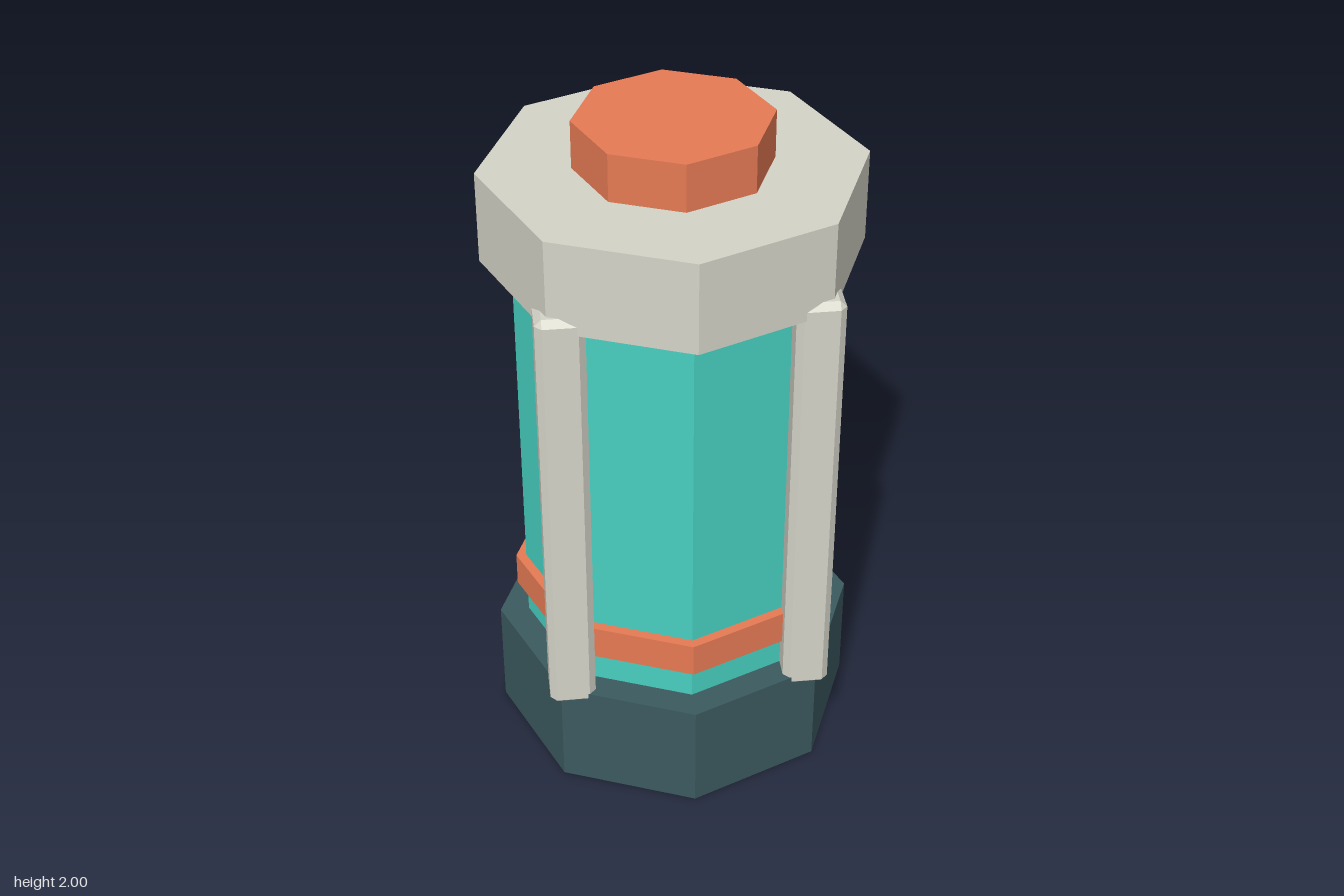
import * as THREE from 'three';
import { ConvexGeometry } from 'three/addons/geometries/ConvexGeometry.js';

const paint = (color) => new THREE.MeshStandardMaterial({ color, flatShading: true });

// Box with every edge and corner cut by c, centred on its origin
function chamferedBox(w, h, d, c) {
  const points = [];
  for (const sx of [-1, 1]) for (const sy of [-1, 1]) for (const sz of [-1, 1]) {
    const x = w / 2, y = h / 2, z = d / 2;
    points.push(
      new THREE.Vector3(sx * x, sy * (y - c), sz * (z - c)),
      new THREE.Vector3(sx * (x - c), sy * y, sz * (z - c)),
      new THREE.Vector3(sx * (x - c), sy * (y - c), sz * z),
    );
  }
  return new ConvexGeometry(points);
}

export function createModel() {
  const model = new THREE.Group();
  model.name = 'canister';

  const dark = paint(0x3b5a5f);
  const teal = paint(0x48d0c0);
  const orange = paint(0xe67a54);
  const cream = paint(0xd4d4c8);

  // Stacked octagonal drums: name, radius, bottom, top, material
  const drums = [
    ['base', 0.537, 0, 0.34, dark],
    ['glassTube', 0.45, 0.33, 1.6, teal],
    ['band', 0.48, 0.445, 0.55, orange],
    ['cap', 0.537, 1.59, 1.86, cream],
    ['topButton', 0.277, 1.85, 2, orange],
  ];
  for (const [name, radius, bottom, top, material] of drums) {
    const drum = new THREE.Mesh(new THREE.CylinderGeometry(radius, radius, top - bottom, 8), material);
    drum.name = name;
    drum.position.y = (bottom + top) / 2;
    model.add(drum);
  }

  // Four chamfered corner posts joining base and cap
  const postGeometry = chamferedBox(0.134, 1.33, 0.134, 0.019);
  for (const sx of [-1, 1]) for (const sz of [-1, 1]) {
    const post = new THREE.Mesh(postGeometry, cream);
    post.name = `${sz > 0 ? 'front' : 'back'}${sx > 0 ? 'Left' : 'Right'}Post`;
    post.position.set(sx * 0.345, 0.97, sz * 0.345);
    model.add(post);
  }

  return model;
}
